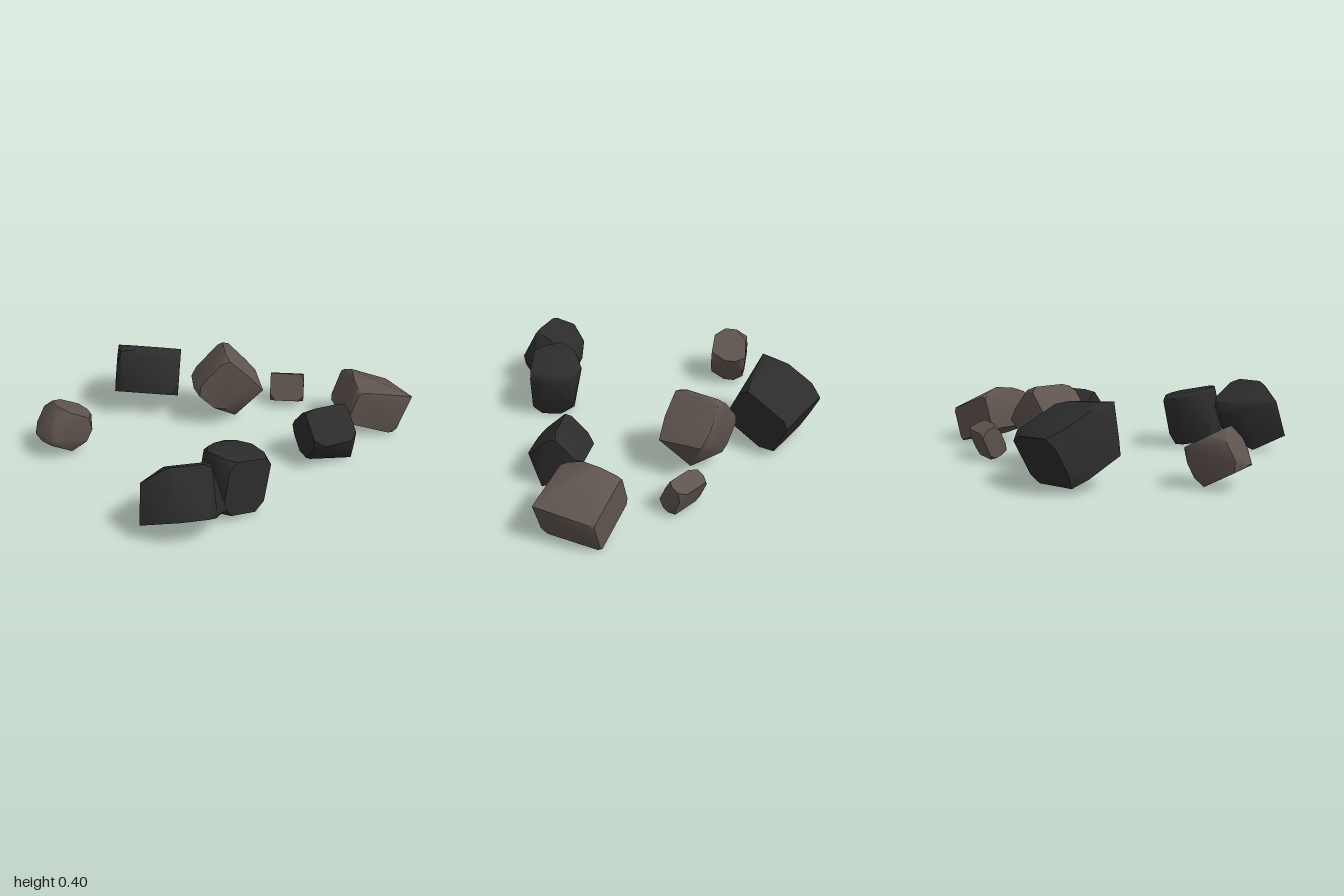
import * as THREE from 'three';
import { ConvexGeometry } from 'three/addons/geometries/ConvexGeometry.js';
import { toCreasedNormals } from 'three/addons/utils/BufferGeometryUtils.js';

// Each rock is a tilted block with broken corners; peaks are extra points that swell it.
const ROCKS = [
  { name: 'leftBrownRock', color: 'brown', centre: [-.845, .15, -.19], size: [.22, .2, .18],
    tilt: [0, .25, -.5], chip: .07, peaks: [[-1, .13, -.16], [-.92, .13, -.06], [-.76, .2, -.32]] },
  { name: 'backDarkRock', color: 'dark', centre: [-.335, .19, -.645], size: [.35, .26, .31],
    tilt: [-.45, -.15, -.1], chip: .07, peaks: [[-.5, .385, -.51]] },
  { name: 'centreBrownRock', color: 'brown', centre: [.037, .24, -.385], size: [.2, .26, .26],
    tilt: [0, -.1, -.75], chip: .05,
    peaks: [[.25, .22, -.48], [.24, .2, -.25], [.11, 0, -.37], [.1, .385, -.5]] },
  { name: 'smallBrownRock', color: 'brown', centre: [.44, .095, -.475], size: [.19, .155, .1],
    tilt: [-.4, -.3, 0], chip: .04, peaks: [] },
  { name: 'rightDarkRock', color: 'dark', centre: [.46, .15, .185], size: [.24, .205, .205],
    tilt: [.78, .2, 0], chip: .05, peaks: [[.31, .17, .11], [.6, 0, .22]] },
  { name: 'farRightBrownRock', color: 'brown', centre: [.805, .145, -.125], size: [.29, .19, .31],
    tilt: [0, 0, -.34], chip: .03, peaks: [[.7, .31, -.08], [.72, .32, -.18], [1, .22, .02]] },
  { name: 'frontDarkRock', color: 'dark', centre: [-.34, .2, .696], size: [.2, .25, .22],
    tilt: [-.5, 0, 0], chip: .04,
    peaks: [[-.58, .08, .74], [-.56, .27, .68], [-.17, .1, .72], [-.33, .2, .5], [-.45, 0, .63]] },
  { name: 'frontMiddleDarkRock', color: 'dark', centre: [-.1, .168, .55], size: [.24, .28, .22],
    tilt: [0, .4, -.2], chip: .06,
    peaks: [[-.23, .34, .57], [-.11, .28, .38], [.06, .24, .49], [.07, .23, .58]] },
];

// Small seeded generator for uneven chips.
function makeRandom(seed) {
  let state = seed;
  return () => {
    state = (state * 16807) % 2147483647;
    return state / 2147483647;
  };
}

function makeRock({ centre, size, tilt, chip, peaks }, seed) {
  const random = makeRandom(seed);
  const place = new THREE.Matrix4().makeRotationFromEuler(new THREE.Euler(...tilt, 'YXZ'));
  place.setPosition(...centre);
  const points = peaks.map((p) => new THREE.Vector3(...p));
  // Cut each block corner by sliding it back along its three edges.
  for (const sx of [-1, 1]) for (const sy of [-1, 1]) for (const sz of [-1, 1]) {
    for (const axis of ['x', 'y', 'z']) {
      const corner = new THREE.Vector3(sx * size[0] / 2, sy * size[1] / 2, sz * size[2] / 2);
      corner[axis] -= Math.sign(corner[axis]) * chip * (0.4 + 0.8 * random());
      points.push(corner.applyMatrix4(place));
    }
  }
  const hull = new ConvexGeometry(points);
  // Rest the rock on the ground.
  hull.computeBoundingBox();
  hull.translate(0, -hull.boundingBox.min.y, 0);
  // Worn edges shade softly, strong ones stay crisp.
  return toCreasedNormals(hull, 0.9);
}

export function createModel() {
  const materials = {
    brown: new THREE.MeshStandardMaterial({ color: 0x5f544e }),
    dark: new THREE.MeshStandardMaterial({ color: 0x2c2c2c }),
  };
  materials.brown.name = 'brownStone';
  materials.dark.name = 'darkStone';

  const group = new THREE.Group();
  group.name = 'rocks';
  ROCKS.forEach((spec, i) => {
    const rock = new THREE.Mesh(makeRock(spec, 101 + i * 7919), materials[spec.color]);
    rock.name = spec.name;
    group.add(rock);
  });
  return group;
}
